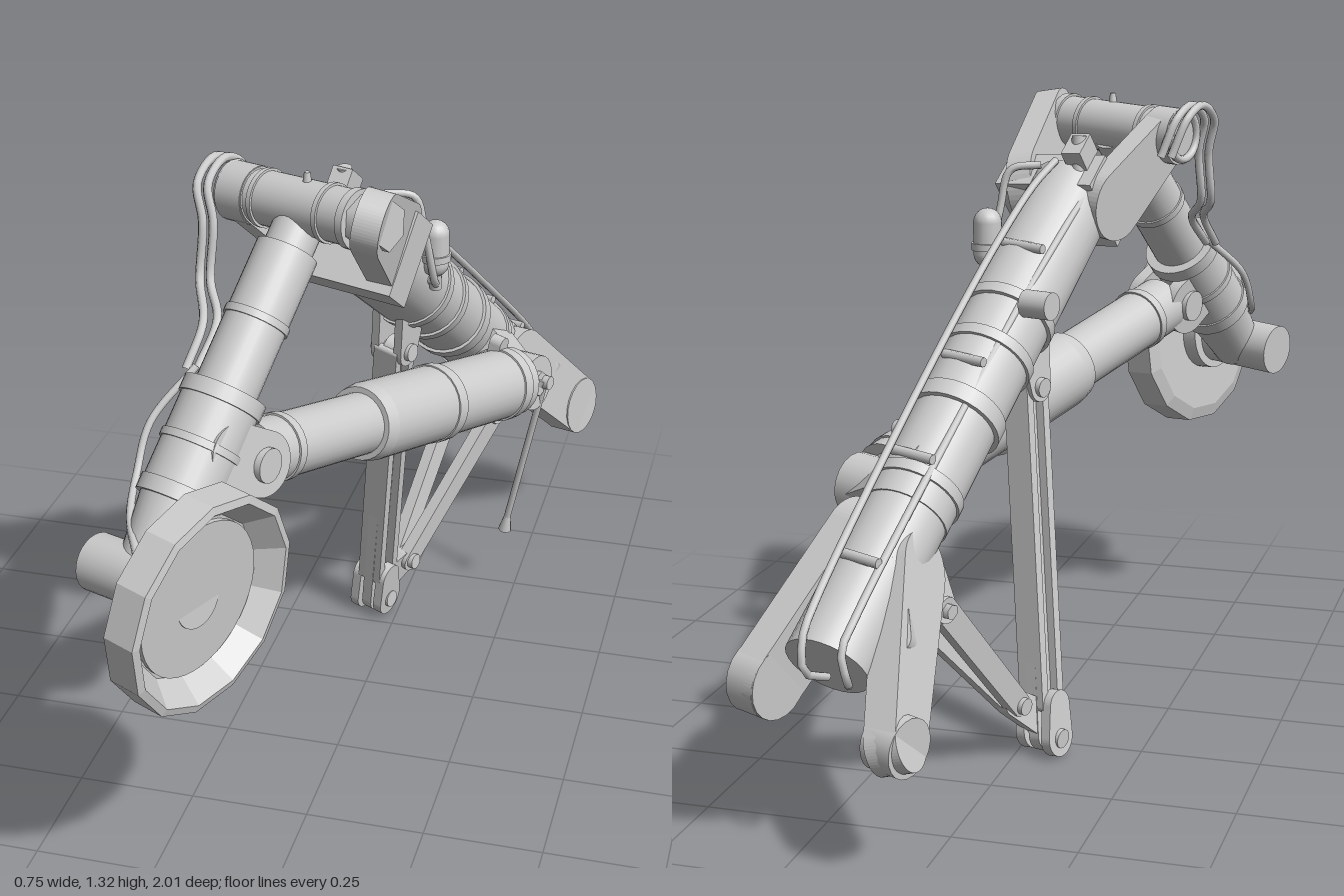
import * as THREE from 'three';

const metal = new THREE.MeshStandardMaterial({ color: 0xcccccc });
metal.name = 'light grey metal';
const V = (x, y, z) => new THREE.Vector3(x, y, z);
const UP = V(0, 1, 0);
const CROSS = V(0.92, 0.05, 0.36).normalize(); // shared direction of the hinge pins

export function createModel() {
  const root = new THREE.Group();
  root.name = 'foldingGearLeg';

  const add = (name, geo) => {
    const m = new THREE.Mesh(geo, metal);
    m.name = name;
    root.add(m);
    return m;
  };

  // Round bar between two points
  const rod = (name, a, b, r0, r1 = r0, sides = 28) => {
    const m = add(name, new THREE.CylinderGeometry(r1, r0, a.distanceTo(b), sides));
    m.position.copy(a).lerp(b, 0.5);
    m.quaternion.setFromUnitVectors(UP, b.clone().sub(a).normalize());
    return m;
  };

  // Tube made of several diameters: [start, end, radius, endRadius]
  const stepped = (name, a, b, steps) =>
    steps.forEach(([s, e, r, r2 = r], i) =>
      rod(name + (i + 1), a.clone().lerp(b, s), a.clone().lerp(b, e), r, r2));

  // Pin centred on a point, along the hinge direction
  const pin = (name, p, r, len, sides = 20) =>
    rod(name, p.clone().addScaledVector(CROSS, -len / 2), p.clone().addScaledVector(CROSS, len / 2), r, r, sides);

  const orient = (m, xDir, zHint) => {
    const x = xDir.clone().normalize();
    const z = zHint.clone().addScaledVector(x, -zHint.dot(x)).normalize();
    m.quaternion.setFromRotationMatrix(new THREE.Matrix4().makeBasis(x, z.clone().cross(x), z));
  };

  // Flat link with round, possibly unequal ends
  const link = (name, a, b, ra, rb, thick, normal = CROSS) => {
    const L = a.distanceTo(b), f = Math.acos((ra - rb) / L);
    const s = new THREE.Shape();
    s.absarc(0, 0, ra, f, 2 * Math.PI - f);
    s.absarc(L, 0, rb, -f, f);
    const g = new THREE.ExtrudeGeometry(s, { depth: thick, bevelEnabled: false, curveSegments: 14 });
    const m = add(name, g.translate(0, 0, -thick / 2));
    m.position.copy(a);
    orient(m, b.clone().sub(a), normal);
    return m;
  };

  const hose = (name, pts, r = 0.008) =>
    add(name, new THREE.TubeGeometry(
      new THREE.CatmullRomCurve3(pts.map(p => V(...p)), false, 'centripetal'), 48, r, 8));

  // Main beam with collars
  const beamTop = V(-0.02, 1.125, 0.05), beamEnd = V(0.18, 0.38, -0.9);
  const along = beamEnd.clone().sub(beamTop).normalize();
  const flat = along.clone().cross(CROSS);
  stepped('mainBeam', beamTop, beamEnd, [
    [0, 0.3, 0.093], [0.29, 0.31, 0.098], [0.3, 0.52, 0.09], [0.38, 0.4, 0.096],
    [0.5, 0.53, 0.097], [0.52, 0.72, 0.087], [0.66, 0.68, 0.092], [0.7, 1, 0.084]]);

  // Upper yoke and cross tube
  const pivotR = V(0.09, 1.255, 0.285), pivotL = V(-0.22, 1.238, 0.15);
  const yoke = add('yokeBlock', new THREE.BoxGeometry(0.09, 0.18, 0.23));
  yoke.position.set(0.005, 1.105, 0.06);
  orient(yoke, along, CROSS);
  link('yokeArmRight', V(-0.11, 1.11, 0.02), V(-0.19, 1.239, 0.163), 0.078, 0.058, 0.045);
  link('yokeArmLeft', V(0.08, 1.13, 0.085), pivotR, 0.09, 0.064, 0.055);
  stepped('crossTube', pivotL, pivotR, [
    [-0.04, 0.15, 0.06], [0.1, 0.9, 0.055], [0.2, 0.23, 0.06], [0.68, 0.71, 0.06], [0.85, 0.9, 0.06]]);
  pin('hexPin', pivotR, 0.05, 0.075, 6);
  rod('greaseNipple', V(-0.06, 1.28, 0.22), V(-0.06, 1.32, 0.22), 0.012, 0.006, 10);

  // Front leg
  const legTop = V(-0.067, 1.24, 0.205), legEnd = V(-0.25, 0.67, 0.72);
  stepped('frontLeg', legTop, legEnd, [
    [0, 0.3, 0.05], [0.12, 0.52, 0.063], [0.3, 0.32, 0.067], [0.5, 0.54, 0.084],
    [0.52, 0.78, 0.079], [0.64, 0.66, 0.083], [0.76, 0.8, 0.083], [0.79, 1, 0.074, 0.056]]);

  // Axle and dished wheel
  const wheelAxis = V(0.92, -0.07, 0.39).normalize();
  const hub = V(-0.118, 0.688, 0.78);
  const onAxis = d => hub.clone().addScaledVector(wheelAxis, d);
  rod('axleStub', V(-0.354, 0.674, 0.68), hub, 0.058);
  rod('axleFlange', onAxis(-0.075), hub, 0.085);
  const profile = [[0, -0.04], [0.19, -0.04], [0.22, -0.03], [0.22, 0.038], [0.204, 0.042], [0.164, -0.008], [0, -0.008]];
  const tyre = new THREE.LatheGeometry(profile.map(p => new THREE.Vector2(...p)), 13).toNonIndexed();
  tyre.computeVertexNormals();
  const wheel = add('wheel', tyre);
  wheel.position.copy(hub);
  wheel.quaternion.setFromUnitVectors(UP, wheelAxis);
  rod('wheelHubDisc', onAxis(-0.02), onAxis(0.002), 0.157, 0.157, 40);

  // Side brace between the leg and the beam
  const braceA = V(-0.13, 0.82, 0.47), braceB = V(0.25, 0.588, -0.457);
  stepped('brace', braceA, braceB, [
    [0.03, 0.42, 0.066], [0.1, 0.12, 0.07], [0.38, 0.41, 0.078, 0.084], [0.41, 0.64, 0.084],
    [0.63, 0.66, 0.087], [0.65, 0.96, 0.08], [0.9, 0.93, 0.084]]);
  for (const s of [-1, 1]) {
    const off = CROSS.clone().multiplyScalar(0.05 * s);
    link('braceFrontLug', braceA.clone().add(off), V(-0.17, 0.87, 0.53).add(off), 0.066, 0.06, 0.03);
  }
  pin('braceFrontPin', braceA, 0.035, 0.15);
  pin('braceRearKnuckle', braceB, 0.065, 0.1);
  pin('braceRearBolt', braceB, 0.03, 0.12, 6);
  link('braceRearLug', braceB, V(0.13, 0.66, -0.56), 0.055, 0.07, 0.08);
  link('braceTab', V(0.2, 0.62, -0.4), V(0.21, 0.7, -0.4), 0.025, 0.018, 0.03);

  // Lower fork
  const tips = [V(0.315, 0.33, -0.865), V(0.035, 0.265, -0.945)];
  const bases = [V(0.205, 0.545, -0.65), V(0.085, 0.51, -0.715)];
  tips.forEach((tip, i) => {
    link('forkArm', bases[i], tip, 0.075, i ? 0.056 : 0.07, 0.066);
    link('forkWeb', V(0.145, 0.505, -0.735), bases[i].clone().lerp(tip, 0.45), 0.07, 0.03, 0.1, flat);
    pin('forkBoss', tip, i ? 0.057 : 0.071, 0.068);
  });

  // Foot and long strut
  const foot = V(-0.055, 0.045, -0.305);
  const strutTop = V(0.015, 0.76, -0.195);
  link('longStrutWeb', foot, strutTop, 0.036, 0.03, 0.025);
  const side = V(0, 0.15, 1).cross(CROSS).cross(CROSS).normalize();
  for (const s of [-1, 1]) {
    const o = side.clone().multiplyScalar(0.025 * s);
    link('longStrutRail', V(-0.047, 0.11, -0.295).add(o), strutTop.clone().add(o), 0.01, 0.01, 0.06);
    const c = CROSS.clone().multiplyScalar(0.033 * s);
    link('footCheek', foot.clone().add(c), V(-0.05, 0.11, -0.295).add(c), 0.04, 0.033, 0.022);
    link('strutTopLug', strutTop.clone().addScaledVector(CROSS, 0.03 * s),
      V(0.03, 0.9, -0.2).addScaledVector(CROSS, 0.03 * s), 0.032, 0.05, 0.02);
  }
  pin('footPin', foot, 0.02, 0.1);
  pin('strutTopPin', strutTop, 0.02, 0.1);

  // A-frame strut
  const apex = V(0, 0.125, -0.355);
  const feet = [V(0.055, 0.41, -0.625), V(0.17, 0.425, -0.585)];
  link('footLink', V(-0.045, 0.08, -0.31), apex, 0.035, 0.028, 0.04);
  pin('apexPin', apex, 0.018, 0.08);
  feet.forEach((p, i) => {
    link('aFrameLeg', apex.clone().addScaledVector(CROSS, i ? 0.015 : -0.015), p, 0.024, 0.027, 0.028);
    link('aFrameLug', p, V(0.1 + 0.06 * i, 0.56, -0.66 + 0.03 * i), 0.028, 0.045, 0.025);
    pin('aFrameBolt', p, 0.016, 0.055, 6);
  });
  rod('aFrameBar', feet[0], feet[1], 0.014);

  // Hanging safety rod
  const rodTop = V(0.312, 0.59, -0.45), rodEnd = V(0.225, 0.18, -0.495);
  pin('hangingRodBoss', rodTop, 0.016, 0.03, 12);
  rod('hangingRod', rodTop, rodEnd, 0.008, 0.008, 10);
  rod('hangingRodTip', V(0.222, 0.155, -0.498), V(0.229, 0.2, -0.493), 0.016, 0.007, 10);

  // Small pressure bottle and valve on the beam
  const bottle = add('pressureBottle', new THREE.CapsuleGeometry(0.03, 0.065, 6, 16));
  bottle.position.set(0.122, 1.045, -0.11);
  rod('bottleBand', V(0.122, 1.02, -0.11), V(0.122, 1.035, -0.11), 0.034);
  rod('bottleNeck', V(0.122, 0.95, -0.12), V(0.122, 1.01, -0.11), 0.013);
  rod('bottleArm', V(0.02, 0.97, -0.14), V(0.122, 0.97, -0.12), 0.014);
  const valve = add('valveBlock', new THREE.BoxGeometry(0.06, 0.05, 0.045));
  valve.position.set(-0.045, 1.215, 0);
  orient(valve, along, CROSS);
  rod('valvePost', V(-0.045, 1.14, -0.01), V(-0.045, 1.25, 0), 0.016);
  rod('sideKnob', V(-0.02, 0.95, -0.31), V(-0.08, 0.95, -0.33), 0.028);

  // Pipes along the beam, looping round its end
  hose('beamPipeLeft', [[0.0, 1.2, -0.02], [0.03, 1.155, -0.08], [0.075, 1.04, -0.22],
    [0.14, 0.795, -0.53], [0.2, 0.495, -0.91], [0.205, 0.45, -0.95], [0.2, 0.39, -0.96], [0.18, 0.36, -0.9]]);
  hose('beamPipeRight', [[-0.08, 1.17, 0.02], [-0.05, 1.08, -0.12], [-0.005, 0.95, -0.29],
    [0.055, 0.745, -0.55], [0.12, 0.48, -0.91], [0.13, 0.43, -0.955], [0.12, 0.37, -0.95], [0.14, 0.35, -0.9]]);
  hose('bottlePipe', [[0.03, 1.19, -0.03], [0.09, 1.18, -0.05], [0.11, 1.1, -0.06],
    [0.125, 0.97, -0.1], [0.11, 0.95, -0.2], [0.08, 0.97, -0.28]]);
  for (const t of [0.2, 0.45, 0.65, 0.85]) {
    pin('pipeClip', beamTop.clone().lerp(beamEnd, t).addScaledVector(V(0, 0.79, -0.61), 0.088), 0.01, 0.1, 8);
  }

  // Flexible hoses over the cross tube and down the leg
  for (const d of [0, 0.022]) {
    hose('legHose', [[-0.2 - d, 1.2, 0.08], [-0.23 - d, 1.28, 0.1], [-0.25 - d, 1.305, 0.15],
      [-0.265 - d, 1.27, 0.21], [-0.25 - d, 1.2, 0.23], [-0.25 - d, 1.09, 0.26],
      [-0.215 - d, 1.04, 0.33 + d], [-0.23 - d, 0.97, 0.42]], 0.009);
  }
  hose('lowerLegHose', [[-0.23, 0.98, 0.42], [-0.3, 0.89, 0.5], [-0.31, 0.81, 0.56],
    [-0.29, 0.77, 0.66], [-0.23, 0.73, 0.79], [-0.24, 0.64, 0.85], [-0.22, 0.62, 0.8]]);
  const ring = add('hoseRing', new THREE.TorusGeometry(0.05, 0.009, 8, 24));
  ring.position.set(-0.235, 1.24, 0.14);
  orient(ring, UP, CROSS);

  return root;
}
